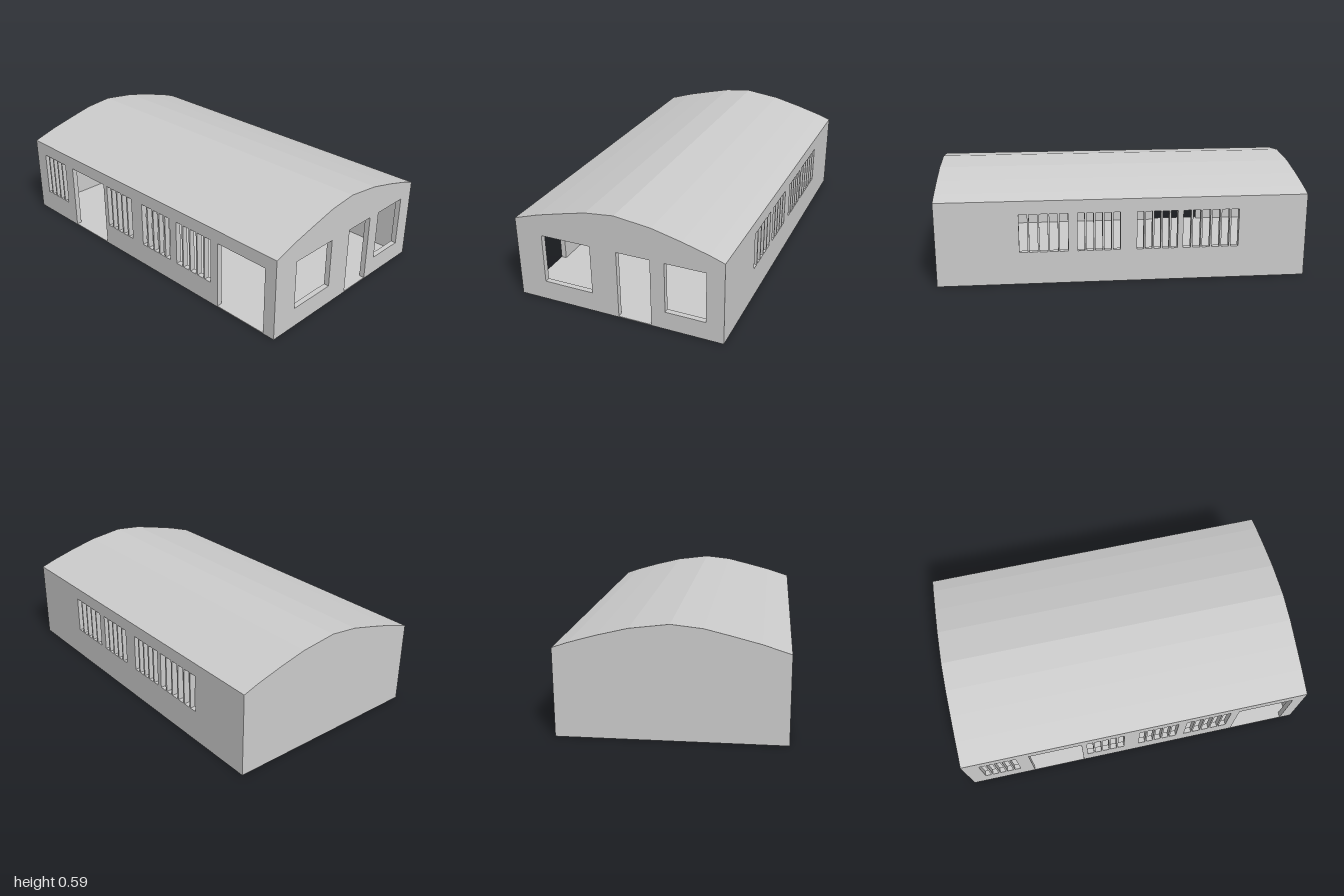
import * as THREE from 'three';

const T = 0.03;       // wall thickness
const BASE = 0.005;   // floor slab height
const HX = 1, HZ = 0.58;

// Roof line as [z, y], from front eave to back eave
const ROOF = [[0.58, 0.46], [0.44, 0.505], [0.3, 0.541], [0.16, 0.575], [0, 0.592],
  [-0.2, 0.567], [-0.36, 0.528], [-0.5, 0.488], [-0.58, 0.46]];

const material = new THREE.MeshStandardMaterial({ color: 0xcccccc });

function addMesh(group, name, geometry) {
  const mesh = new THREE.Mesh(geometry, material);
  mesh.name = name;
  group.add(mesh);
  return mesh;
}

const extrude = (shape, depth) => new THREE.ExtrudeGeometry(shape, { depth, bevelEnabled: false });

const shapeFrom = (points) => new THREE.Shape(points.map(([x, y]) => new THREE.Vector2(x, y)));

// Bottom edge, left to right, stepping up around each door opening [x0, x1, top]
function bottomEdge(x0, x1, doors) {
  const points = [[x0, BASE]];
  for (const [a, b, top] of doors) points.push([a, BASE], [a, top], [b, top], [b, BASE]);
  points.push([x1, BASE]);
  return points;
}

// Cuts a window into equal panes, leaving slim bars between them
function cutWindow(shape, [x0, x1, y0, y1, panes = 1]) {
  const bar = 0.01;
  const w = (x1 - x0 - bar * (panes - 1)) / panes;
  for (let i = 0; i < panes; i++) {
    const a = x0 + i * (w + bar);
    const hole = new THREE.Path();
    hole.moveTo(a, y0).lineTo(a, y1).lineTo(a + w, y1).lineTo(a + w, y0).closePath();
    shape.holes.push(hole);
  }
}

function longWall(doors, windows) {
  const x = HX - T;
  const shape = shapeFrom([...bottomEdge(-x, x, doors), [x, 0.46], [-x, 0.46]]);
  windows.forEach((win) => cutWindow(shape, win));
  return extrude(shape, T);
}

// Drawn with the horizontal axis along -z, then turned to face +x
function gable(doors, windows) {
  const top = ROOF.map(([z, y]) => [-z, y]).reverse();
  const shape = shapeFrom([...bottomEdge(-HZ, HZ, doors), ...top]);
  windows.forEach((win) => cutWindow(shape, win));
  return extrude(shape, T).rotateY(Math.PI / 2);
}

export function createModel() {
  const building = new THREE.Group();
  building.name = 'building';

  // Floor slab
  addMesh(building, 'floor', new THREE.BoxGeometry(2 * HX, BASE, 2 * HZ)).position.y = BASE / 2;

  // Front wall: two doorways and four barred windows
  const front = longWall(
    [[-0.625, -0.32, 0.387], [0.61, 0.93, 0.387]],
    [[-0.91, -0.7, 0.13, 0.387, 5], [-0.29, -0.07, 0.13, 0.387, 5],
      [0.02, 0.25, 0.13, 0.387, 5], [0.3, 0.56, 0.13, 0.387, 5]]);
  addMesh(building, 'frontWall', front).position.z = HZ - T;

  // Back wall: four barred windows with a higher sill
  const back = longWall([],
    [[-0.625, -0.32, 0.178, 0.387, 6], [-0.29, -0.07, 0.178, 0.387, 5],
      [0.02, 0.25, 0.178, 0.387, 5], [0.3, 0.56, 0.178, 0.387, 5]]);
  addMesh(building, 'backWall', back).position.z = -HZ;

  // Gable with a doorway between two open windows, and a plain one opposite
  const openGable = gable([[0.002, 0.187, 0.387]],
    [[-0.428, -0.147, 0.11, 0.387], [0.265, 0.485, 0.103, 0.387]]);
  addMesh(building, 'doorGable', openGable).position.x = HX - T;
  addMesh(building, 'plainGable', gable([], [])).position.x = -HX;

  // Arched roof shell between the gables
  const outer = ROOF.map(([z, y]) => [-z, y]);
  const inner = outer.map(([u, y]) => [u * (HZ - T) / HZ, y - 0.025]).reverse();
  const roof = extrude(shapeFrom([...outer, ...inner]), 2 * (HX - T)).rotateY(Math.PI / 2);
  addMesh(building, 'roof', roof).position.x = -(HX - T);

  return building;
}
